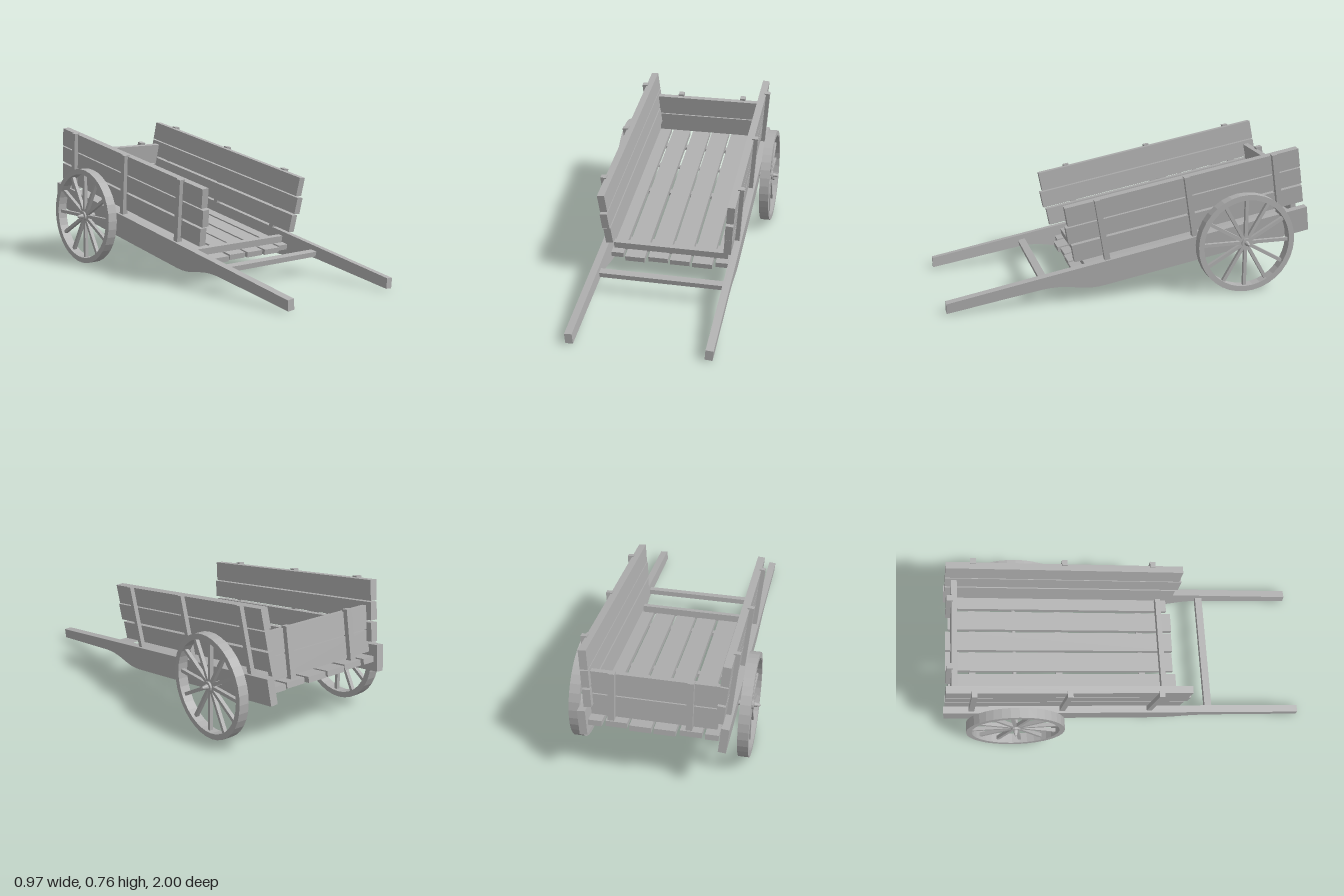
import * as THREE from 'three';

const TILT = 0.181;   // the bed rises toward the back
const LEAN = 0.083;   // the sides splay outward
const AXLE_Y = 0.278, AXLE_Z = -0.605;

const wood = new THREE.MeshStandardMaterial({ color: 0xb0b0b0, flatShading: true });
wood.name = 'grey wood';

function add(parent, name, geometry, x = 0, y = 0, z = 0) {
  const mesh = new THREE.Mesh(geometry, wood);
  mesh.name = name;
  mesh.position.set(x, y, z);
  parent.add(mesh);
  return mesh;
}

// Box given by its extents along each axis
function board(parent, name, [x0, x1], [y0, y1], [z0, z1]) {
  return add(parent, name, new THREE.BoxGeometry(x1 - x0, y1 - y0, z1 - z0),
    (x0 + x1) / 2, (y0 + y1) / 2, (z0 + z1) / 2);
}

// Long side beam that narrows into a pulling handle
function shaftGeometry() {
  const s = new THREE.Shape();
  s.moveTo(-0.397, 0.085);
  s.lineTo(-0.393, -0.052);
  s.lineTo(0.78, -0.052);
  s.bezierCurveTo(0.93, -0.052, 0.95, 0.012, 1.12, 0.019);
  s.lineTo(1.626, 0.028);
  s.lineTo(1.617, 0.082);
  s.closePath();
  const g = new THREE.ExtrudeGeometry(s, { depth: 0.04, bevelEnabled: false, curveSegments: 10 });
  g.translate(0, 0, -0.02);
  g.rotateY(-Math.PI / 2);
  return g;
}

function buildSide(side) {
  const g = new THREE.Group();
  g.name = side > 0 ? 'leftSide' : 'rightSide';
  g.position.x = side * 0.35;
  g.rotation.z = -side * LEAN;
  add(g, 'shaft', shaftGeometry());
  const across = (a, b) => (side > 0 ? [a, b] : [-b, -a]);
  // Three wall planks
  const planks = [[0.107, 0.204, 0.917], [0.216, 0.308, 0.931], [0.315, 0.42, 0.917]];
  for (const [bottom, top, front] of planks)
    board(g, 'sidePlank', across(-0.055, -0.015), [bottom, top], [-0.392, front]);
  // Three outer posts
  for (const z of [-0.246, 0.252, 0.745])
    board(g, 'sidePost', across(-0.025, 0.008), [0.08, 0.427], [z - 0.015, z + 0.015]);
  return g;
}

function buildWheel(side) {
  const g = new THREE.Group();
  g.name = side > 0 ? 'leftWheel' : 'rightWheel';
  g.position.set(side * 0.43, AXLE_Y, AXLE_Z);
  // Rim
  const ring = new THREE.Shape().absarc(0, 0, 0.272, 0, Math.PI * 2, false);
  ring.holes.push(new THREE.Path().absarc(0, 0, 0.242, 0, Math.PI * 2, true));
  const rim = new THREE.ExtrudeGeometry(ring, { depth: 0.055, bevelEnabled: false, curveSegments: 18 });
  rim.translate(0, 0, -0.0275);
  rim.rotateY(Math.PI / 2);
  add(g, 'rim', rim);
  // Spokes
  for (let i = 0; i < 12; i++) {
    const spoke = new THREE.BoxGeometry(0.02, 0.235, 0.018);
    spoke.translate(0, 0.131, 0);
    add(g, 'spoke', spoke).rotation.x = i * Math.PI / 6;
  }
  // Hub
  const hub = new THREE.CylinderGeometry(0.026, 0.026, 0.04, 12);
  hub.rotateZ(Math.PI / 2);
  add(g, 'hub', hub);
  return g;
}

export function createModel() {
  const cart = new THREE.Group();
  cart.name = 'handCart';

  const bed = new THREE.Group();
  bed.name = 'bed';
  bed.position.set(0, AXLE_Y, AXLE_Z);
  bed.rotation.x = TILT;
  cart.add(bed);

  for (const side of [1, -1]) {
    bed.add(buildSide(side));
    cart.add(buildWheel(side));
  }

  // Floor planks with slightly uneven ends
  const floor = [
    [-0.325, -0.257, -0.375, 0.9], [-0.241, -0.132, -0.37, 0.925], [-0.114, -0.005, -0.385, 0.912],
    [0.008, 0.117, -0.385, 0.918], [0.132, 0.241, -0.37, 0.922], [0.257, 0.325, -0.38, 0.9],
  ];
  for (const [x0, x1, back, front] of floor)
    board(bed, 'floorPlank', [x0, x1], [0, 0.03], [back, front]);

  // Bearers under the floor
  for (const z of [-0.235, 0.255, 0.735])
    board(bed, 'floorBearer', [-0.335, 0.335], [-0.02, 0], [z - 0.018, z + 0.018]);

  // Front sill and the bar between the handles
  board(bed, 'frontSill', [-0.318, 0.318], [0.025, 0.068], [0.83, 0.86]);
  board(bed, 'crossBar', [-0.335, 0.335], [0.03, 0.058], [1.075, 1.115]);

  // Tailboard
  board(bed, 'tailPlank', [-0.315, 0.315], [0.054, 0.168], [-0.358, -0.328]);
  board(bed, 'tailPlank', [-0.325, 0.325], [0.174, 0.293], [-0.358, -0.328]);
  for (const x of [-0.179, 0.209])
    board(bed, 'tailPost', [x - 0.016, x + 0.016], [0.045, 0.305], [-0.385, -0.35]);

  // Axle with tapered ends
  const profile = [[0, -0.485], [0.007, -0.48], [0.013, -0.455], [0.013, 0.455], [0.007, 0.48], [0, 0.485]]
    .map(([r, y]) => new THREE.Vector2(r, y));
  const axle = new THREE.LatheGeometry(profile, 12);
  axle.rotateZ(Math.PI / 2);
  add(cart, 'axle', axle, 0, AXLE_Y, AXLE_Z);

  return cart;
}
